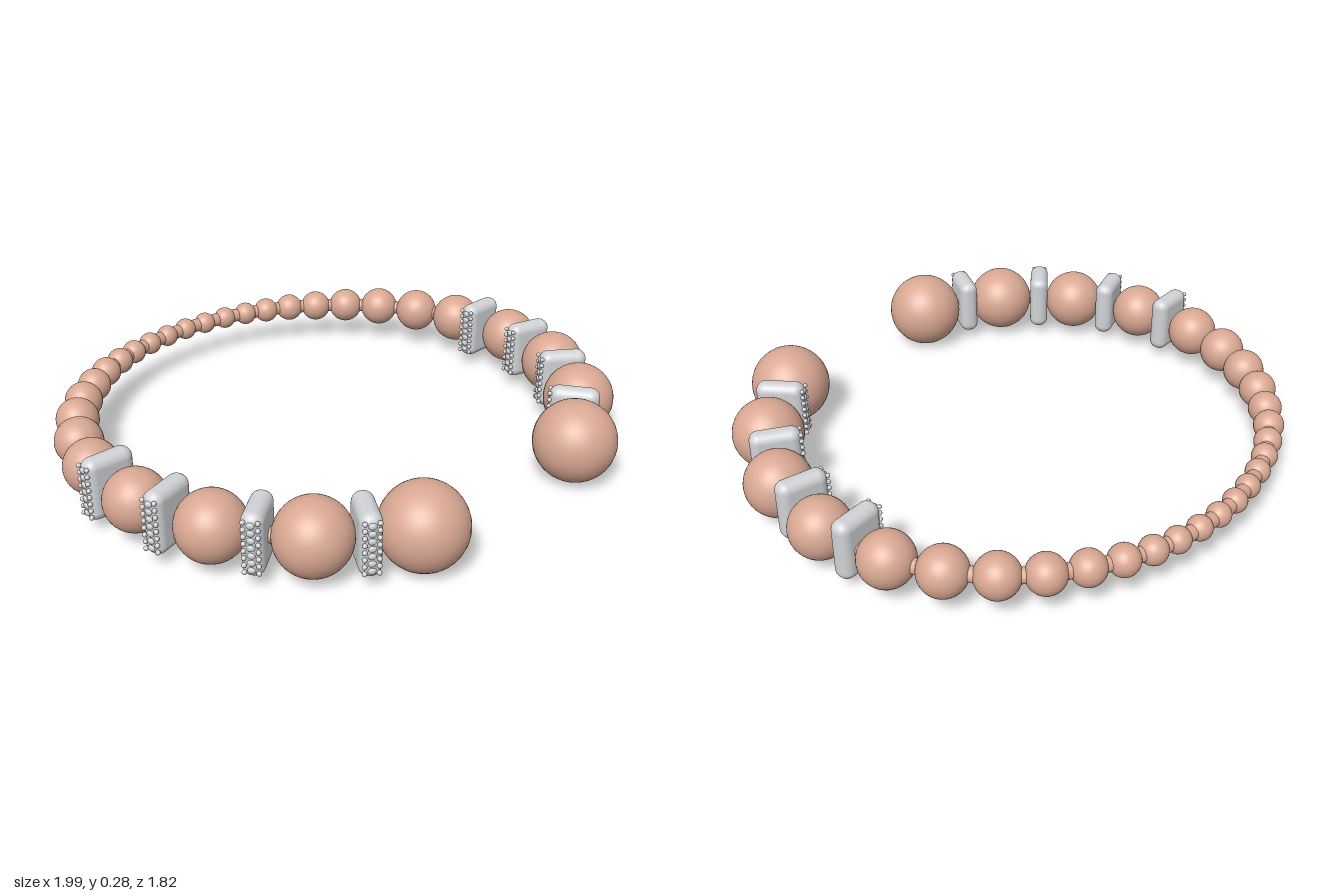
import * as THREE from 'three';
import { RoundedBoxGeometry } from 'three/addons/geometries/RoundedBoxGeometry.js';

const Y = 0.14;

// Beads of one arm, from the open end to the back: x, z, radius
const BEADS = [
  [0.37, 0.768, 0.14], [0.641, 0.587, 0.123], [0.818, 0.341, 0.113], [0.895, 0.07, 0.102],
  [0.88, -0.193, 0.092], [0.82, -0.36, 0.082], [0.738, -0.498, 0.074], [0.645, -0.605, 0.066],
  [0.548, -0.686, 0.059], [0.455, -0.749, 0.053], [0.364, -0.793, 0.048], [0.278, -0.825, 0.044],
  [0.187, -0.848, 0.042], [0.094, -0.862, 0.041], [0, -0.867, 0.041],
];

// Spacer plates of one arm: mean x, z, turn in degrees
const SPACERS = [[0.887, -0.065, -1], [0.86, 0.2, 16], [0.735, 0.458, 36], [0.515, 0.672, 57]];

export function createModel() {
  const model = new THREE.Group();
  const copper = new THREE.MeshStandardMaterial({ color: 0xd9a893 });
  copper.name = 'rose copper';
  const silver = new THREE.MeshStandardMaterial({ color: 0xd0d2d5 });
  silver.name = 'silver';

  const add = (parent, name, geometry, material, x, y, z) => {
    const mesh = new THREE.Mesh(geometry, material);
    mesh.name = name;
    mesh.position.set(x, y, z);
    parent.add(mesh);
    return mesh;
  };

  // Graduated beads, mirrored left and right
  const sphere = new THREE.SphereGeometry(1, 40, 28);
  for (const [x, z, r] of BEADS) {
    for (const s of x === 0 ? [1] : [1, -1]) {
      add(model, 'bead', sphere, copper, s * x, Y, z).scale.setScalar(r);
    }
  }

  // Core wire running through the beads
  const arm = BEADS.map(([x, z]) => new THREE.Vector3(x, Y, z));
  const otherArm = arm.slice(0, -1).reverse().map((p) => new THREE.Vector3(-p.x, p.y, p.z));
  const path = new THREE.CatmullRomCurve3([...arm, ...otherArm]);
  add(model, 'coreWire', new THREE.TubeGeometry(path, 160, 0.026, 12), copper, 0, 0, 0);

  // Rounded spacer plates, each with a studded edge on its -x end
  const plate = new RoundedBoxGeometry(0.17, 0.212, 0.07, 5, 0.032);
  const stud = new THREE.SphereGeometry(1, 12, 8);
  const makeSpacer = () => {
    const spacer = new THREE.Group();
    spacer.name = 'spacer';
    add(spacer, 'spacerPlate', plate, silver, 0, 0, 0);
    for (let i = 0; i < 7; i++) {
      add(spacer, 'gem', stud, silver, -0.084, (i - 3) * 0.025, 0).scale.set(0.007, 0.011, 0.013);
    }
    for (let i = 0; i < 8; i++) {
      for (const side of [-1, 1]) {
        add(spacer, 'prong', stud, silver, -0.083, (i - 3.5) * 0.024, side * 0.022).scale.setScalar(0.008);
      }
    }
    return spacer;
  };
  for (const s of [1, -1]) {
    for (const [x, z, turn] of SPACERS) {
      const spacer = makeSpacer();
      const angle = THREE.MathUtils.degToRad(turn);
      // The plates sit slightly off centre, towards their studded edge
      const shift = -s * 0.014;
      spacer.position.set(s * (x + shift * Math.cos(angle)), Y + 0.004, z + shift * Math.sin(angle));
      spacer.rotation.y = -s * angle;
      model.add(spacer);
    }
  }
  return model;
}
